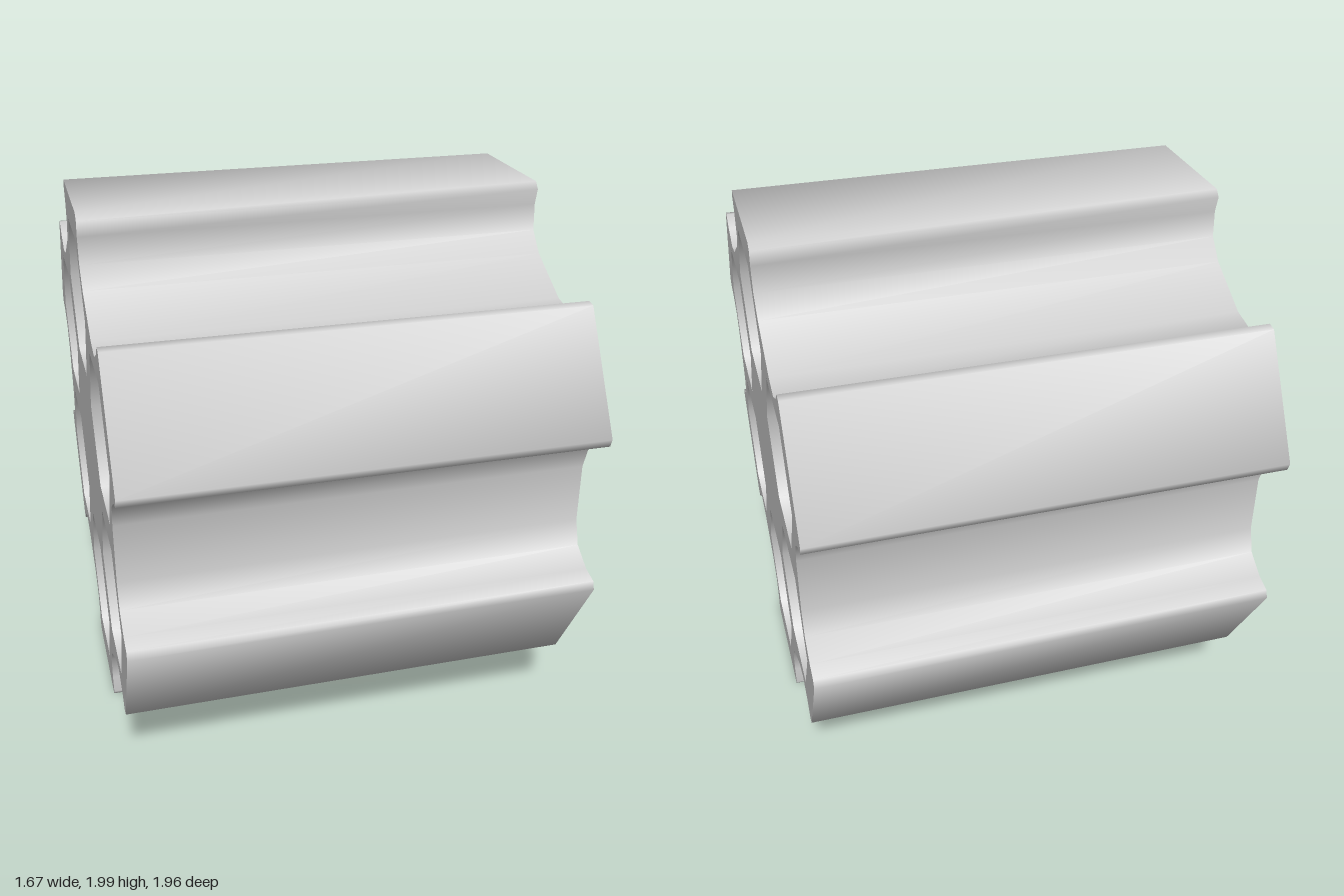
import * as THREE from 'three';
import { toCreasedNormals } from 'three/addons/utils/BufferGeometryUtils.js';

const LENGTH = 1.67;
const LOBES = 6;

// Half of one flute, as (radial, tangential) from its centre line to the lobe corner
const FLUTE = [[0.798, 0.109], [0.829, 0.199], [0.908, 0.253], [0.967, 0.269], [0.978, 0.299]];

// Outer outline: the flute repeated around the axis, mirrored about its centre line
function outline() {
  const points = [];
  const profile = [...FLUTE.map(([r, t]) => [r, -t]).reverse(), ...FLUTE];
  for (let i = 0; i < LOBES; i++) {
    const angle = (i * Math.PI * 2) / LOBES;
    for (const [r, t] of profile) {
      points.push(new THREE.Vector2(r, t).rotateAround(new THREE.Vector2(), angle));
    }
  }
  return points;
}

// Hexagonal chamber, turned very slightly from level
function hexagon(cx, cy, radius, turn) {
  const points = [];
  for (let k = 0; k < 6; k++) {
    const a = turn - (k * Math.PI) / 3;
    points.push(new THREE.Vector2(cx + radius * Math.cos(a), cy + radius * Math.sin(a)));
  }
  return new THREE.Path(points);
}

export function createModel() {
  const group = new THREE.Group();
  group.name = 'flutedCylinder';

  // Cross-section with a ring of through chambers, one under each lobe
  const section = new THREE.Shape(outline());
  for (let i = 0; i < LOBES; i++) {
    const a = THREE.MathUtils.degToRad(30.6 + i * 60);
    section.holes.push(hexagon(0.621 * Math.cos(a) - 0.003, 0.621 * Math.sin(a) + 0.003, 0.291, -0.03));
  }

  // Extrude along the x axis
  let geometry = new THREE.ExtrudeGeometry(section, { depth: LENGTH, bevelEnabled: false });
  geometry.translate(0, 0, -LENGTH / 2);
  geometry.rotateY(Math.PI / 2);
  geometry.translate(0, 1, 0);
  geometry = toCreasedNormals(geometry, THREE.MathUtils.degToRad(66));

  const body = new THREE.Mesh(geometry, new THREE.MeshStandardMaterial({ color: 0xcccccc }));
  body.name = 'chamberedBody';
  group.add(body);
  return group;
}
